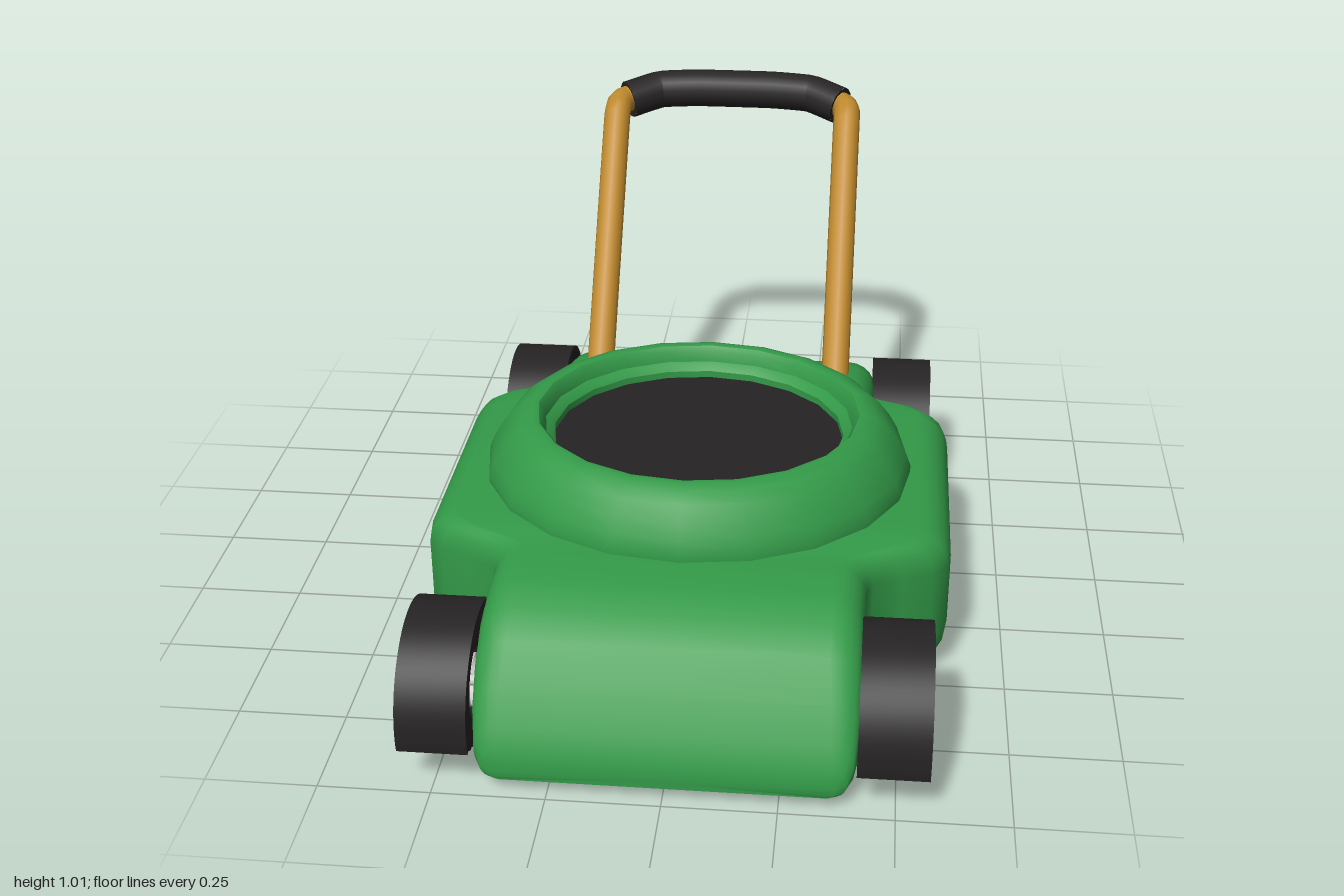
import * as THREE from 'three';
import { toCreasedNormals } from 'three/addons/utils/BufferGeometryUtils.js';

const material = (color, side = THREE.FrontSide) => new THREE.MeshStandardMaterial({ color, side });
const green = material(0x339a48);
const greenOpen = material(0x339a48, THREE.DoubleSide);
const black = material(0x262324);
const orange = material(0xc18b2e);
const grey = material(0xcccccc);
const V = (x, y, z) => new THREE.Vector3(x, y, z);

function add(parent, name, geometry, mat) {
  const mesh = new THREE.Mesh(geometry, mat);
  mesh.name = name;
  parent.add(mesh);
  return mesh;
}

// Rounded-rectangle cross-sections [z, half width, top, corner radius], back to front
function deckGeometry() {
  const sections = [
    [-0.69, 0.37, 0.07, 0.02], [-0.685, 0.395, 0.1, 0.03], [-0.665, 0.41, 0.15, 0.05],
    [-0.62, 0.418, 0.23, 0.06], [-0.56, 0.42, 0.305, 0.07], [-0.5, 0.42, 0.345, 0.07],
    [-0.42, 0.42, 0.37, 0.07], [-0.3, 0.42, 0.37, 0.07], [-0.265, 0.435, 0.37, 0.07],
    [-0.235, 0.5, 0.37, 0.075], [-0.21, 0.57, 0.37, 0.08], [-0.175, 0.605, 0.37, 0.08],
    [-0.13, 0.612, 0.37, 0.08], [0.39, 0.612, 0.37, 0.08], [0.44, 0.605, 0.37, 0.08],
    [0.48, 0.57, 0.37, 0.08], [0.515, 0.5, 0.37, 0.075], [0.55, 0.435, 0.37, 0.07],
    [0.59, 0.42, 0.37, 0.07], [0.71, 0.42, 0.37, 0.07], [0.79, 0.42, 0.345, 0.07],
    [0.85, 0.42, 0.3, 0.07], [0.91, 0.418, 0.22, 0.06], [0.955, 0.41, 0.145, 0.05],
    [0.975, 0.395, 0.1, 0.03], [0.982, 0.37, 0.07, 0.02],
  ];
  const bottom = 0.033, steps = 5, ring = 4 * (steps + 1);
  const pos = [], index = [];
  for (const [z, w, top, r] of sections) {
    for (let c = 0; c < 4; c++) {
      const cx = (c < 2 ? 1 : -1) * (w - r);
      const cy = c === 1 || c === 2 ? top - r : bottom + r;
      for (let s = 0; s <= steps; s++) {
        const a = (c - 1 + s / steps) * Math.PI / 2;
        pos.push(cx + r * Math.cos(a), Math.max(bottom, cy + r * Math.sin(a)), z);
      }
    }
  }
  const last = (sections.length - 1) * ring;
  const backCentre = pos.length / 3;
  pos.push(0, 0.05, sections[0][0], 0, 0.05, sections[sections.length - 1][0]);
  for (let j = 0; j < ring; j++) {
    const k = (j + 1) % ring;
    for (let i = 0; i < last; i += ring) {
      index.push(i + j, i + k, i + ring + j, i + k, i + ring + k, i + ring + j);
    }
    index.push(backCentre, k, j, backCentre + 1, last + j, last + k);
  }
  const geometry = new THREE.BufferGeometry();
  geometry.setAttribute('position', new THREE.Float32BufferAttribute(pos, 3));
  geometry.setIndex(index);
  return toCreasedNormals(geometry, 0.75);
}

// Extrudes a side-on shape along x
function sideExtrude(shape, depth, x, bevel = 0) {
  const geometry = new THREE.ExtrudeGeometry(shape, {
    depth: depth - 2 * bevel, curveSegments: 20, bevelEnabled: bevel > 0,
    bevelSize: bevel, bevelThickness: bevel, bevelOffset: -bevel, bevelSegments: 2,
  });
  geometry.translate(0, 0, bevel).rotateY(Math.PI / 2).translate(x, 0, 0);
  return toCreasedNormals(geometry, 0.6);
}

// Wheel about the origin, outer face towards +x
function createWheel() {
  const wheel = new THREE.Group();
  wheel.name = 'wheel';

  // Tyre with stepped tread blocks
  const tread = new THREE.Shape();
  const lugs = 10;
  for (let i = 0; i < lugs; i++) {
    [[0, 0.16], [0.3, 0.16], [0.62, 0.156], [0.68, 0.145], [0.95, 0.145]].forEach(([t, r], n) => {
      const a = ((i + t) / lugs) * Math.PI * 2 - Math.PI / 2;
      const p = [r * Math.cos(a), r * Math.sin(a)];
      if (i + n === 0) tread.moveTo(...p); else tread.lineTo(...p);
    });
  }
  tread.closePath();
  tread.holes.push(new THREE.Path().absarc(0, 0, 0.08, 0, Math.PI * 2, true));
  add(wheel, 'tyre', sideExtrude(tread, 0.125, -0.062, 0.018), black);

  // Rim ring with a raised lip
  const rim = [[0.06, -0.055], [0.06, 0.035], [0.072, 0.04], [0.08, 0.058], [0.09, 0.068],
    [0.098, 0.066], [0.1, 0.05]].map(([r, h]) => new THREE.Vector2(r, h));
  const rimGeometry = new THREE.LatheGeometry(rim, 24).rotateZ(-Math.PI / 2);
  add(wheel, 'rim', rimGeometry, material(0xcccccc, THREE.DoubleSide));

  // Hub, axle and spokes
  add(wheel, 'hub', new THREE.CylinderGeometry(0.022, 0.024, 0.03, 14).rotateZ(-Math.PI / 2), grey).position.x = 0.033;
  add(wheel, 'axle', new THREE.CylinderGeometry(0.014, 0.014, 0.12, 10).rotateZ(Math.PI / 2), grey).position.x = -0.03;
  for (let i = 0; i < 5; i++) {
    const spoke = new THREE.BoxGeometry(0.014, 0.05, 0.017).translate(0.03, 0.04, 0);
    add(wheel, 'spoke', spoke.rotateX((i / 5) * Math.PI * 2), grey);
  }
  return wheel;
}

// Thin arched guard over a wheel
function fenderGeometry() {
  const arch = new THREE.Shape();
  arch.absarc(0, 0, 0.197, -0.22, Math.PI + 0.22, false);
  arch.absarc(0, 0, 0.181, Math.PI + 0.22, -0.22, true);
  return sideExtrude(arch, 0.155, -0.0775);
}

// Tube through points with closed ends
function rod(parent, name, points, radius, sides, mat) {
  const curve = new THREE.CatmullRomCurve3(points, false, 'catmullrom', 0.2);
  add(parent, name, new THREE.TubeGeometry(curve, 40, radius, sides), mat);
  [0, 1].forEach((t) => {
    const cap = add(parent, name + 'End', new THREE.CircleGeometry(radius, sides), mat);
    cap.position.copy(curve.getPoint(t));
    const outward = curve.getTangent(t).multiplyScalar(t ? 1 : -1);
    cap.quaternion.setFromUnitVectors(V(0, 0, 1), outward);
  });
}

export function createModel() {
  const mower = new THREE.Group();
  mower.name = 'lawnMower';

  add(mower, 'deck', deckGeometry(), green);

  // Oval engine housing, open at the top
  const housing = new THREE.Group();
  housing.name = 'engineHousing';
  housing.position.z = 0.145;
  housing.scale.z = 0.912;
  const profile = [[0.5, 0.365], [0.514, 0.372], [0.514, 0.388], [0.503, 0.418], [0.482, 0.455],
    [0.456, 0.489], [0.43, 0.51], [0.402, 0.52], [0.388, 0.518], [0.378, 0.505],
    [0.372, 0.48], [0.36, 0.472], [0.35, 0.462], [0.35, 0.43]];
  const shell = new THREE.LatheGeometry(profile.map(([r, y]) => new THREE.Vector2(r, y)), 20);
  add(housing, 'housingShell', toCreasedNormals(shell, 0.7), greenOpen);
  const well = new THREE.CircleGeometry(0.352, 20).rotateX(-Math.PI / 2);
  add(housing, 'housingWell', well, black).position.y = 0.445;
  mower.add(housing);

  // Wheels and fenders
  for (const z of [0.8, -0.5]) {
    for (const side of [1, -1]) {
      const wheel = createWheel();
      wheel.position.set(side * 0.488, 0.16, z);
      wheel.rotation.y = side > 0 ? 0 : Math.PI;
      mower.add(wheel);
      add(mower, 'fender', fenderGeometry(), black).position.set(side * 0.4925, 0.143, z);
    }
  }

  // Push handle
  const handle = new THREE.Group();
  handle.name = 'pushHandle';
  for (const s of [1, -1]) {
    rod(handle, 'handleBar', [V(s * 0.315, 0.32, -0.345), V(s * 0.315, 0.6, -0.553),
      V(s * 0.315, 0.89, -0.772), V(s * 0.315, 0.935, -0.812), V(s * 0.313, 0.946, -0.855),
      V(s * 0.3, 0.945, -0.885), V(s * 0.26, 0.95, -0.91)], 0.036, 12, orange);
  }
  rod(handle, 'grip', [V(-0.295, 0.941, -0.895), V(-0.21, 0.957, -0.945), V(-0.1, 0.963, -0.949),
    V(0.1, 0.963, -0.949), V(0.21, 0.957, -0.945), V(0.295, 0.941, -0.895)], 0.051, 14, black);
  mower.add(handle);

  return mower;
}
